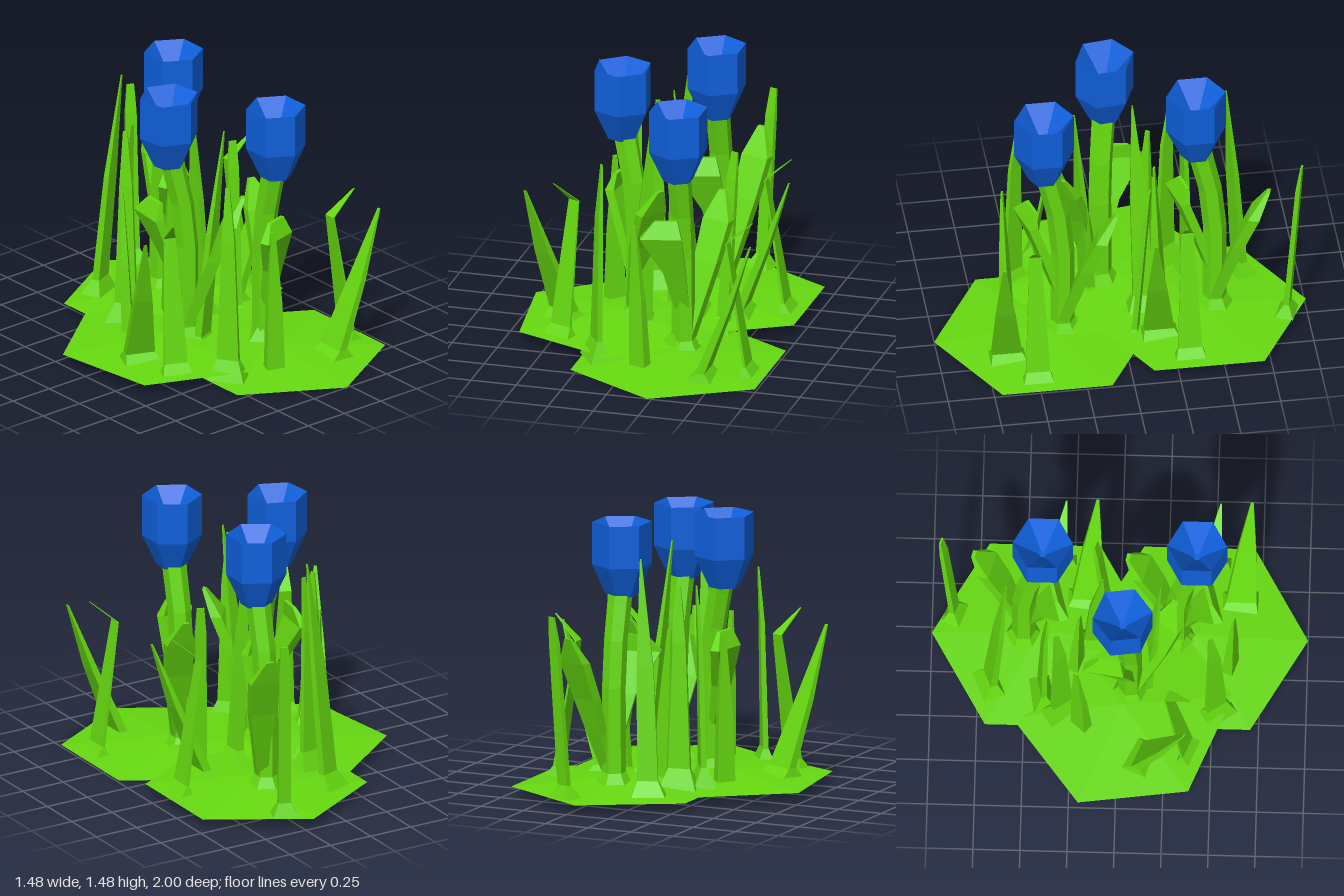
import * as THREE from 'three';

const leafGreen = new THREE.MeshStandardMaterial({ name: 'leafGreen', color: 0x66d910, flatShading: true });
const petalBlue = new THREE.MeshStandardMaterial({ name: 'petalBlue', color: 0x0f60dc, flatShading: true });

// Skin through level cross-sections [x, y, z, halfWidth, halfThickness];
// the width points along an angle in the ground plane (degrees from +x towards +z).
function loft(name, sections, angle = 0, sides = 4) {
  const a = THREE.MathUtils.degToRad(angle), pos = [], idx = [];
  const start = sides === 4 ? Math.PI / 4 : Math.PI / 2;
  const k = sides === 4 ? Math.SQRT2 : 1;
  for (const [x, y, z, w, t = w] of sections) {
    for (let i = 0; i < sides; i++) {
      const p = start - (i / sides) * Math.PI * 2;
      const u = w * k * Math.cos(p), v = t * k * Math.sin(p);
      pos.push(x + u * Math.cos(a) - v * Math.sin(a), y, z + u * Math.sin(a) + v * Math.cos(a));
    }
  }
  const last = (sections.length - 1) * sides;
  for (let s = 0; s < last; s += sides) {
    for (let i = 0; i < sides; i++) {
      const j = (i + 1) % sides;
      idx.push(s + i, s + j, s + sides + j, s + i, s + sides + j, s + sides + i);
    }
  }
  for (let i = 1; i < sides - 1; i++) {
    idx.push(0, i + 1, i, last, last + i, last + i + 1);
  }
  const g = new THREE.BufferGeometry();
  g.setAttribute('position', new THREE.Float32BufferAttribute(pos, 3));
  g.setIndex(idx);
  const flat = g.toNonIndexed();
  flat.computeVertexNormals();
  const mesh = new THREE.Mesh(flat, leafGreen);
  mesh.name = name;
  return mesh;
}

function createClump(name) {
  const clump = new THREE.Group();
  clump.name = name;

  // Low hexagonal mound of ground
  const ground = new THREE.Mesh(new THREE.ConeGeometry(0.59, 0.05, 6), leafGreen);
  ground.name = 'groundMound';
  ground.position.y = 0.025;
  clump.add(ground);

  // Curved stem with a flared foot
  clump.add(loft('stem', [
    [0, 0.01, -0.1, 0.11], [0, 0.09, -0.1, 0.065], [0, 0.55, -0.1, 0.063],
    [0, 0.8, -0.075, 0.063], [0, 1.0, -0.03, 0.065], [0, 1.13, 0, 0.07],
  ], 0, 6));

  // Hexagonal cup flower with a sunken funnel on top
  const cup = [[0, 1.03], [0.082, 1.03], [0.16, 1.2], [0.16, 1.43], [0.02, 1.26], [0, 1.26]];
  const flower = new THREE.Mesh(
    new THREE.LatheGeometry(cup.map(([r, y]) => new THREE.Vector2(r, y)), 6), petalBlue);
  flower.name = 'flower';
  clump.add(flower);

  // Two broad leaves growing from the stem
  clump.add(loft('backLeaf', [
    [0.03, 0.1, -0.1, 0.03, 0.03], [0.07, 0.3, -0.16, 0.045, 0.03], [0.1, 0.5, -0.22, 0.07, 0.03],
    [0.135, 0.71, -0.3, 0.08, 0.03], [0.14, 0.85, -0.37, 0.02, 0.01],
  ], 15));
  clump.add(loft('frontLeaf', [
    [0, 0.28, -0.07, 0.04, 0.02], [-0.02, 0.5, 0, 0.06, 0.025],
    [-0.07, 0.72, 0.09, 0.11, 0.025], [-0.05, 0.81, 0.06, 0.06, 0.01],
  ], -15));

  // Grass blades around the stem
  const blades = [
    ['tallBackBlade', -22, [[-0.29, 0.02, -0.28, 0.09, 0.06], [-0.28, 0.1, -0.27, 0.055, 0.02],
      [-0.245, 0.7, -0.23, 0.045, 0.015], [-0.2, 1.28, -0.19, 0.004, 0.003]]],
    ['rearBlade', 20, [[0.11, 0.01, -0.47, 0.07, 0.05], [0.115, 0.08, -0.475, 0.035, 0.015],
      [0.145, 0.85, -0.53, 0.03, 0.012], [0.155, 1, -0.545, 0.02, 0.005]]],
    ['bentSideBlade', 90, [[0.42, 0.01, 0.09, 0.08, 0.035], [0.41, 0.06, 0.09, 0.065, 0.008],
      [0.3, 0.74, 0.09, 0.033, 0.004], [0.445, 0.87, 0.115, 0.004, 0.003]]],
    ['leaningSideBlade', 90, [[0.2, 0.01, 0.22, 0.1, 0.07], [0.21, 0.06, 0.23, 0.08, 0.025],
      [0.35, 0.42, 0.255, 0.05, 0.018], [0.48, 0.8, 0.28, 0.008, 0.004]]],
    ['shortFrontBlade', 20, [[-0.16, 0.02, 0.18, 0.05, 0.03], [-0.17, 0.4, 0.19, 0.04, 0.02],
      [-0.185, 0.82, 0.2, 0.012, 0.005]]],
    ['tallSideBlade', 56, [[-0.42, 0.01, 0.11, 0.1, 0.06], [-0.42, 0.12, 0.11, 0.06, 0.015],
      [-0.41, 0.8, 0.1, 0.035, 0.012], [-0.4, 1.1, 0.08, 0.012, 0.004]]],
  ];
  for (const [part, angle, sections] of blades) clump.add(loft(part, sections, angle));
  return clump;
}

export function createModel() {
  const model = new THREE.Group();
  model.name = 'flowerPatch';
  // Three copies of the same clump, one of them turned
  const places = [
    ['frontClump', 0.225, 0, 0.41, 0],
    ['backClump', 0.2, 0.055, -0.41, 0],
    ['rightClump', -0.195, 0.055, 0.025, -112.4],
  ];
  for (const [name, x, y, z, turn] of places) {
    const clump = createClump(name);
    clump.position.set(x, y, z);
    clump.rotation.y = THREE.MathUtils.degToRad(turn);
    model.add(clump);
  }
  return model;
}
